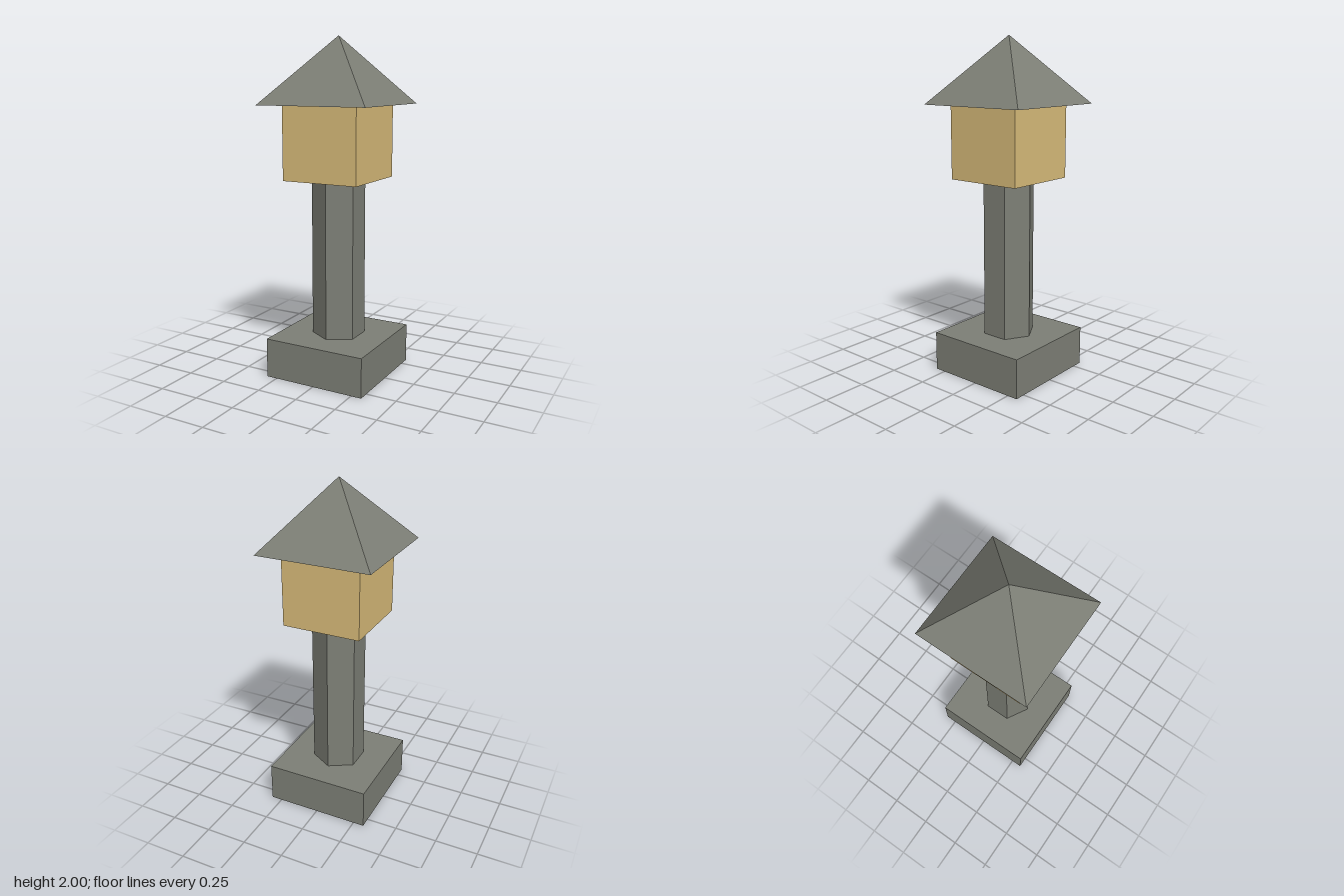
import * as THREE from 'three';

export function createModel() {
  const group = new THREE.Group();
  group.name = 'stoneLantern';

  const stone = new THREE.MeshStandardMaterial({ color: 0x7d7f76 });
  stone.name = 'stone';
  const glow = new THREE.MeshStandardMaterial({ color: 0xd8bb79 });
  glow.name = 'warmLight';

  // Places a part with its underside at height y
  const add = (name, geometry, material, y, height) => {
    const flat = geometry.toNonIndexed();
    flat.computeVertexNormals();
    const mesh = new THREE.Mesh(flat, material);
    mesh.name = name;
    mesh.position.y = y + height / 2;
    group.add(mesh);
  };

  // Square foot
  add('base', new THREE.BoxGeometry(0.63, 0.236, 0.63), stone, 0, 0.236);

  // Six-sided post, with corners pointing front and back
  add('post', new THREE.CylinderGeometry(0.157, 0.157, 0.944, 6), stone, 0.236, 0.944);

  // Lit chamber
  add('lightBox', new THREE.BoxGeometry(0.472, 0.433, 0.472), glow, 1.18, 0.433);

  // Pyramid roof, turned so its eaves line up with the chamber
  const roof = new THREE.ConeGeometry(0.342 * Math.SQRT2, 0.387, 4).rotateY(Math.PI / 4);
  add('roof', roof, stone, 1.613, 0.387);

  return group;
}
